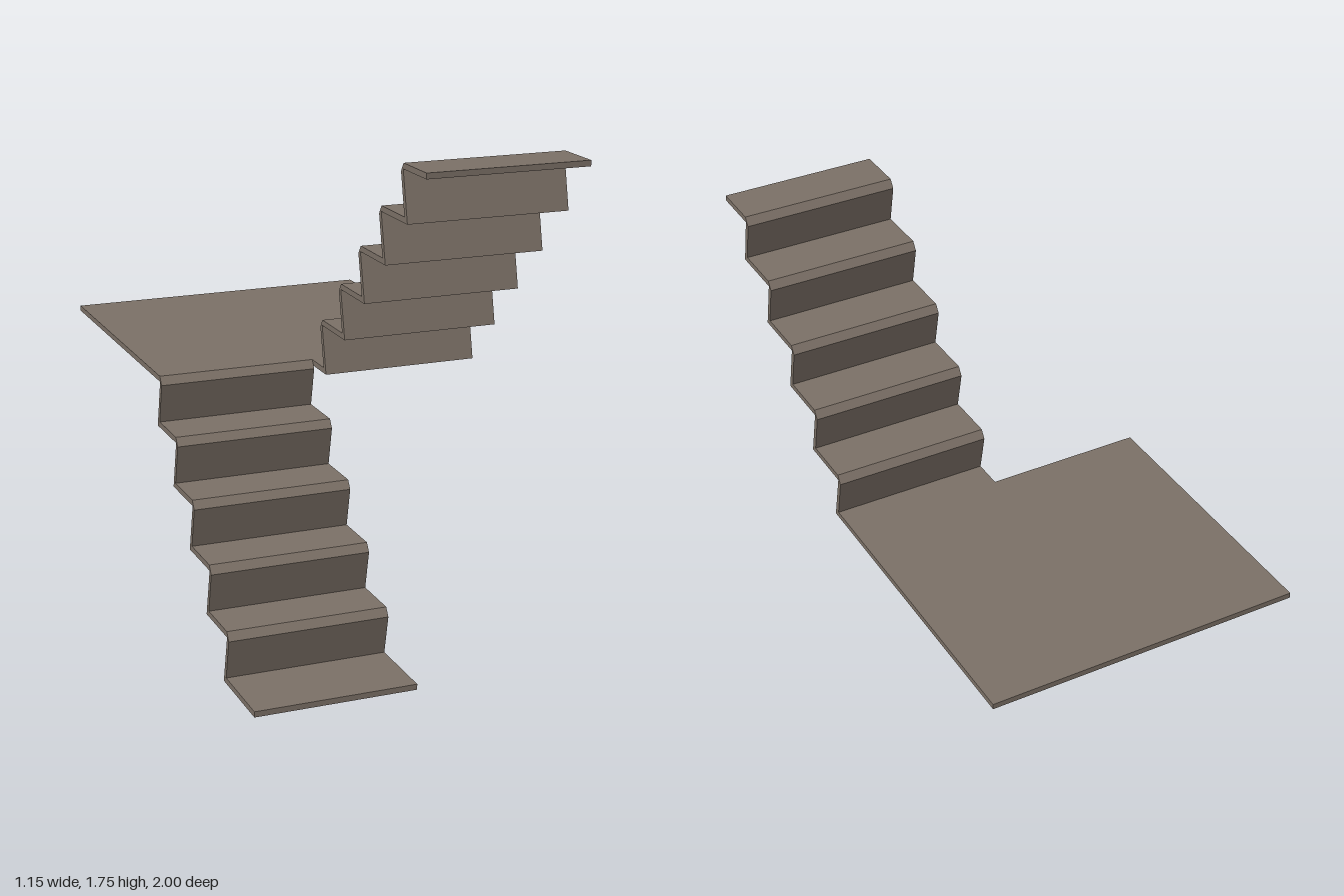
import * as THREE from 'three';

const WIDTH = 0.575, STEPS = 5, RUN = 0.1725, RISE = 0.1725, THICK = 0.02;

// Folded side profile: leaning risers with bevelled nosings, climbing along +x
function flightGeometry(lead, end) {
  const top = [[-lead, THICK]];
  const under = [[-lead, 0]];
  for (let i = 0; i < STEPS; i++) {
    const s = i * RUN, y = i * RISE;
    top.push([s - 0.024, y + THICK], [s - 0.055, y + 0.163], [s - 0.036, y + RISE + THICK]);
    under.push([s, y], [s - 0.038, y + RISE]);
  }
  top.push([end, STEPS * RISE + THICK]);
  under.push([end, STEPS * RISE]);
  const outline = [...under, ...top.reverse()].map(([s, y]) => new THREE.Vector2(s, y));
  return new THREE.ExtrudeGeometry(new THREE.Shape(outline), { depth: WIDTH, bevelEnabled: false });
}

export function createModel() {
  const stone = new THREE.MeshStandardMaterial({ color: 0x7d7268 });
  stone.name = 'warm grey stone';
  const model = new THREE.Group();
  model.name = 'staircase';

  const add = (name, geometry) => {
    const mesh = new THREE.Mesh(geometry, stone);
    mesh.name = name;
    model.add(mesh);
    return mesh;
  };

  // Lower flight climbs towards the back
  const lower = add('lowerFlight', flightGeometry(0.3, 0.69));
  lower.rotation.y = Math.PI / 2;
  lower.position.set(-WIDTH, 0, 0.69);

  // Upper flight turns and climbs towards the front
  const upper = add('upperFlight', flightGeometry(0.17, 0.83));
  upper.rotation.y = -Math.PI / 2;
  upper.position.set(WIDTH, STEPS * RISE, 0.17);

  // Landing joins both flights
  const landing = add('landing', new THREE.BoxGeometry(2 * WIDTH, THICK, 1));
  landing.position.set(0, STEPS * RISE + THICK / 2, -0.5);

  return model;
}
